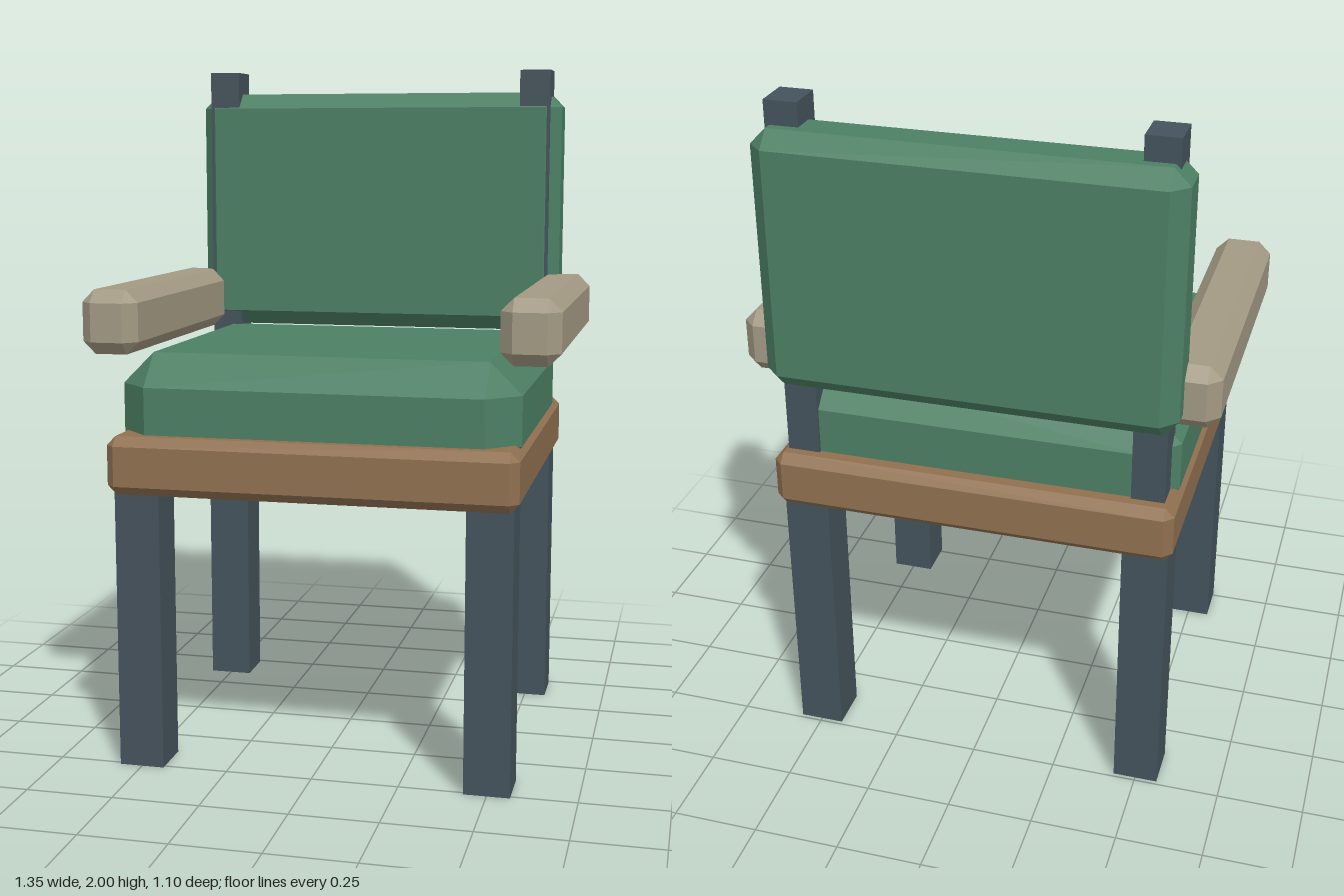
import * as THREE from 'three';
import { ConvexGeometry } from 'three/addons/geometries/ConvexGeometry.js';

const material = (color) => new THREE.MeshStandardMaterial({ color, flatShading: true });

// Box with every edge and corner cut at 45 degrees by c
function chamferedBox(w, h, d, c) {
  const half = [w / 2, h / 2, d / 2];
  const points = [];
  for (const sx of [-1, 1]) for (const sy of [-1, 1]) for (const sz of [-1, 1]) {
    for (let axis = 0; axis < 3; axis++) {
      const p = [sx, sy, sz].map((s, i) => s * (half[i] - (i === axis ? 0 : c)));
      points.push(new THREE.Vector3(...p));
    }
  }
  return new ConvexGeometry(points);
}

export function createModel() {
  const group = new THREE.Group();
  const fabric = material(0x4c7f64);
  const wood = material(0x907050);
  const metal = material(0x45535c);
  const padding = material(0xa39a84);

  // Adds a block spanning [min, max] on each axis, chamfered if c > 0
  function block(name, mat, [x0, x1], [y0, y1], [z0, z1], c = 0) {
    const size = [x1 - x0, y1 - y0, z1 - z0];
    const geometry = c > 0 ? chamferedBox(...size, c) : new THREE.BoxGeometry(...size);
    const mesh = new THREE.Mesh(geometry, mat);
    mesh.name = name;
    mesh.position.set((x0 + x1) / 2, (y0 + y1) / 2, (z0 + z1) / 2);
    group.add(mesh);
  }

  // Seat and back
  block('seatFrame', wood, [-0.58, 0.58], [0.8, 0.966], [-0.53, 0.55], 0.026);
  block('seatCushion', fabric, [-0.57, 0.57], [0.87, 1.19], [-0.47, 0.495], 0.09);
  block('backCushion', fabric, [-0.58, 0.58], [1.19, 1.933], [-0.55, -0.364], 0.046);

  // Paired parts on the left (+x) and right (-x)
  for (const [side, s] of [['left', 1], ['right', -1]]) {
    const span = (a, b) => (s > 0 ? [a, b] : [-b, -a]);
    block(side + 'FrontLeg', metal, span(0.435, 0.565), [0, 0.81], [0.382, 0.512]);
    block(side + 'BackLeg', metal, span(0.435, 0.565), [0, 0.81], [-0.488, -0.358]);
    block(side + 'BackPost', metal, span(0.453, 0.547), [0.88, 2], [-0.478, -0.367]);
    block(side + 'Armrest', padding, span(0.511, 0.676), [1.185, 1.368], [-0.458, 0.478], 0.036);
  }
  return group;
}
